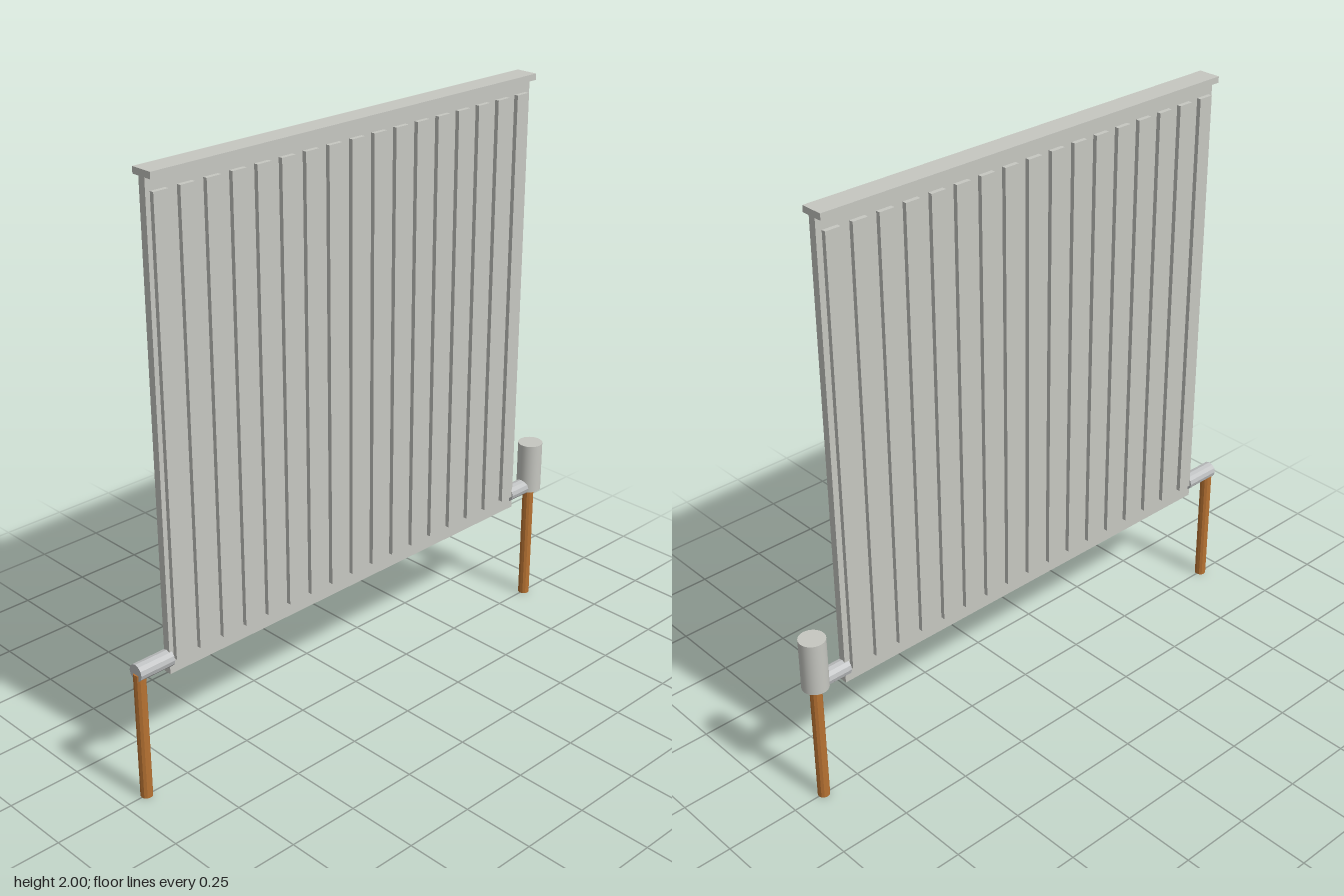
import * as THREE from 'three';

export function createModel() {
  const model = new THREE.Group();
  model.name = 'radiator';

  const enamel = new THREE.MeshStandardMaterial({ color: 0xc6c7c1 });
  enamel.name = 'grey white enamel';
  const chrome = new THREE.MeshStandardMaterial({ color: 0xbfc1c2 });
  chrome.name = 'chrome';
  const copper = new THREE.MeshStandardMaterial({ color: 0xb87333 });
  copper.name = 'copper';

  const add = (name, geometry, material, x, y, z = 0) => {
    const mesh = new THREE.Mesh(geometry, material);
    mesh.name = name;
    mesh.position.set(x, y, z);
    model.add(mesh);
    return mesh;
  };
  // box given by its limits on x and y, centred on z
  const slab = (name, x0, x1, y0, y1, depth) =>
    add(name, new THREE.BoxGeometry(x1 - x0, y1 - y0, depth), enamel, (x0 + x1) / 2, (y0 + y1) / 2);
  // faceted tube, upright or lying along x
  const tube = (name, r, length, material, x, y, lying = false) => {
    const g = new THREE.CylinderGeometry(r, r, length, 12).toNonIndexed();
    if (lying) g.rotateZ(Math.PI / 2);
    g.computeVertexNormals();
    return add(name, g, material, x, y);
  };

  // flat core panel and top grille
  slab('panel', -0.807, 0.78, 0.403, 1.985, 0.026);
  slab('topCap', -0.807, 0.78, 1.979, 2.0, 0.078);

  // raised ribs, standing out on both faces
  const ribs = 17, pitch = 0.0936, ribWidth = 0.053;
  for (let i = 0; i < ribs; i++) {
    const x = -0.791 + i * pitch;
    slab('rib', x, x + ribWidth, 0.455, 1.938, 0.056);
  }

  // side connectors
  tube('rightConnector', 0.029, 0.13, chrome, -0.863, 0.456, true);
  tube('leftConnector', 0.029, 0.12, chrome, 0.825, 0.456, true);

  // supply pipes down to the floor
  tube('rightPipe', 0.02, 0.45, copper, -0.914, 0.225);
  tube('leftPipe', 0.02, 0.45, copper, 0.886, 0.225);

  // thermostat valve
  add('valve', new THREE.CylinderGeometry(0.044, 0.044, 0.184, 32), enamel, 0.886, 0.532);

  return model;
}
